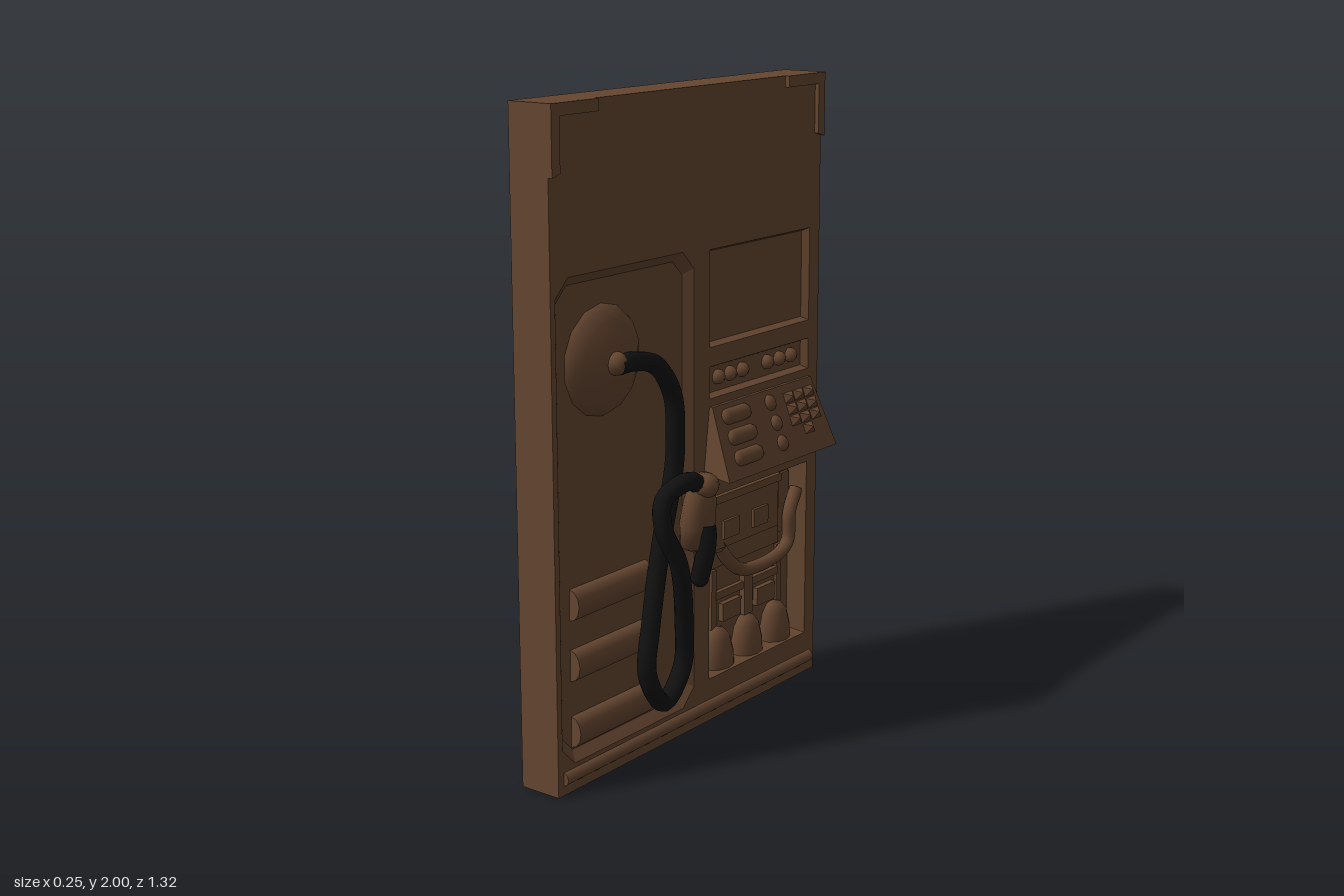
import * as THREE from 'three';

const brown = new THREE.MeshStandardMaterial({ color: 0x654630, side: THREE.DoubleSide });
brown.name = 'brownCasing';
const black = new THREE.MeshStandardMaterial({ color: 0x111111 });
black.name = 'blackRubber';

// Modelled facing +z, then turned so the face looks along +x
export function createModel() {
  const model = new THREE.Group();
  model.name = 'fuelPumpPanel';
  const panel = new THREE.Group();
  panel.name = 'panel';
  panel.rotation.y = Math.PI / 2;
  model.add(panel);

  const add = (name, geo, x = 0, y = 0, z = 0, mat = brown, parent = panel) => {
    const m = new THREE.Mesh(geo, mat);
    m.name = name;
    m.position.set(x, y, z);
    parent.add(m);
    return m;
  };
  // Box given by its limits
  const block = (name, x0, x1, y0, y1, z0, z1) =>
    add(name, new THREE.BoxGeometry(x1 - x0, y1 - y0, z1 - z0), (x0 + x1) / 2, (y0 + y1) / 2, (z0 + z1) / 2);
  // Rectangle outline with cut corners
  const outline = (x0, x1, y0, y1, c = 0) => (c
    ? [[x0 + c, y0], [x1 - c, y0], [x1, y0 + c], [x1, y1 - c], [x1 - c, y1], [x0 + c, y1], [x0, y1 - c], [x0, y0 + c]]
    : [[x0, y0], [x1, y0], [x1, y1], [x0, y1]]).map(p => new THREE.Vector2(...p));
  const layer = (name, holes, z0, z1) => {
    const s = new THREE.Shape(outline(-0.66, 0.66, 0, 2));
    s.holes = holes.map(h => new THREE.Path([...h].reverse()));
    return add(name, new THREE.ExtrudeGeometry(s, { depth: z1 - z0, bevelEnabled: false }), 0, 0, z0);
  };
  // Sloping wall joining two outlines
  const slope = (name, outer, inner, z0, z1) => {
    const pos = [];
    outer.forEach((a, i) => {
      const j = (i + 1) % outer.length, b = outer[j], c = inner[j], d = inner[i];
      pos.push(a.x, a.y, z0, b.x, b.y, z0, c.x, c.y, z1, a.x, a.y, z0, c.x, c.y, z1, d.x, d.y, z1);
    });
    const g = new THREE.BufferGeometry();
    g.setAttribute('position', new THREE.Float32BufferAttribute(pos, 3));
    g.computeVertexNormals();
    add(name, g);
  };
  const tube = (name, pts, r, mat, seg = 80) => add(name, new THREE.TubeGeometry(
    new THREE.CatmullRomCurve3(pts.map(p => new THREE.Vector3(...p))), seg, r, 10), 0, 0, 0, mat);

  // Casing in layers, with recesses cut through the front ones
  const hoseBay = outline(-0.64, -0.01, 0.085, 1.52, 0.055);
  const screen = outline(0.07, 0.605, 1.21, 1.51);
  const lamps = outline(0.07, 0.605, 1.05, 1.15);
  const machinery = outline(0.07, 0.605, 0.14, 0.735);
  block('backSlab', -0.66, 0.66, 0, 2, -0.132, -0.06);
  layer('middleLayer', [machinery], -0.06, -0.018);
  layer('frontLayer', [hoseBay, screen, lamps, machinery], -0.018, 0.007);
  slope('hoseBayBevel', hoseBay, outline(-0.612, -0.038, 0.115, 1.492, 0.045), 0.007, -0.017);
  slope('screenBevel', screen, outline(0.082, 0.595, 1.22, 1.5), 0.007, -0.017);
  slope('lampBevel', lamps, outline(0.082, 0.595, 1.06, 1.14), 0.007, -0.017);
  slope('machineryBevel', machinery, outline(0.08, 0.595, 0.15, 0.725), 0.007, -0.059);

  // Corner brackets
  for (const s of [-1, 1]) {
    const b = new THREE.Shape([[0.66, 2], [0.46, 2], [0.46, 1.965], [0.625, 1.965], [0.625, 1.81], [0.66, 1.8]]
      .map(([x, y]) => new THREE.Vector2(s * x, y)));
    add('cornerBracket', new THREE.ExtrudeGeometry(b, { depth: 0.014, bevelEnabled: false }), 0, 0, 0.007);
  }

  // Rounded kick bar
  const bar = add('kickBar', new THREE.CylinderGeometry(0.022, 0.022, 1.27, 10), 0, 0.05, 0.002);
  bar.rotation.z = Math.PI / 2;

  // Bulging louvres in the hose bay
  for (const y of [0.17, 0.375, 0.56]) {
    const l = add('louvre', new THREE.CylinderGeometry(0.048, 0.048, 0.35, 12), -0.395, y, -0.018);
    l.rotation.z = Math.PI / 2;
    l.scale.z = 0.75;
  }

  // Dish where the hose leaves the casing
  const dish = add('hoseDish', new THREE.LatheGeometry([[0.165, -0.018], [0.155, 0], [0.12, 0.022], [0.06, 0.042], [0, 0.05]]
    .map(p => new THREE.Vector2(...p)), 14), -0.415, 1.255, 0);
  dish.rotation.x = Math.PI / 2;
  add('hoseSocket', new THREE.SphereGeometry(0.035, 10, 8), -0.425, 1.255, 0.045);

  // Hose: down, round the long loop, back up and over to the nozzle
  tube('hose', [[-0.43, 1.25, 0.052], [-0.36, 1.25, 0.052], [-0.24, 1.215, 0.045], [-0.155, 1.11, 0.038],
    [-0.138, 0.98, 0.035], [-0.14, 0.88, 0.03], [-0.21, 0.66, 0.035], [-0.275, 0.42, 0.045], [-0.298, 0.28, 0.05],
    [-0.217, 0.165, 0.05], [-0.127, 0.25, 0.05], [-0.137, 0.41, 0.065], [-0.2, 0.61, 0.094], [-0.25, 0.73, 0.075],
    [-0.235, 0.81, 0.065], [-0.16, 0.845, 0.075], [-0.07, 0.825, 0.06], [-0.04, 0.77, 0.05]], 0.029, black, 160);

  // Nozzle and its spout
  const nozzle = add('nozzle', new THREE.LatheGeometry([[0, 0.135], [0.035, 0.13], [0.06, 0.05], [0.066, -0.03], [0.055, -0.1], [0, -0.125]]
    .map(p => new THREE.Vector2(...p)), 10), -0.038, 0.715, 0.045);
  nozzle.scale.z = 0.75;
  nozzle.rotation.x = 0.15;
  const grip = add('nozzleGrip', new THREE.SphereGeometry(0.05, 10, 8), -0.035, 0.81, 0.068);
  grip.scale.set(1, 0.8, 0.85);
  tube('spout', [[-0.037, 0.69, 0.075], [-0.036, 0.64, 0.078], [-0.036, 0.515, 0.05]], 0.03, black, 10);
  add('spoutTip', new THREE.SphereGeometry(0.03, 10, 6), -0.036, 0.515, 0.05, black);

  // Indicator lamps
  for (const x of [0.138, 0.2, 0.265, 0.4, 0.466, 0.53]) {
    add('lamp', new THREE.SphereGeometry(0.024, 8, 6), x, 1.105, -0.012);
  }

  // Sloping console: wedge widening towards its lower edge
  const wedge = new THREE.BoxGeometry(1, 1, 1);
  const wp = wedge.attributes.position;
  for (let i = 0; i < wp.count; i++) {
    const low = wp.getY(i) < 0, out = wp.getZ(i) > 0;
    wp.setXYZ(i, 0.337 + Math.sign(wp.getX(i)) * (low ? 0.295 : 0.268), low ? (out ? 0.805 : 0.82) : 1.025,
      out ? (low ? 0.105 : 0.018) : 0);
  }
  wedge.computeVertexNormals();
  add('console', wedge);
  const keys = new THREE.Group();
  keys.name = 'consoleKeys';
  keys.position.set(0, 0.915, 0.0615);
  keys.rotation.x = -Math.atan2(0.087, 0.22);
  panel.add(keys);
  const key = (name, geo, x, y) => add(name, geo, x, (y - 0.915) / 0.93, 0, brown, keys);
  for (const y of [0.987, 0.925, 0.863]) {
    const pill = key('pillKey', new THREE.CapsuleGeometry(0.025, 0.095, 4, 8), 0.172, y);
    pill.rotation.z = Math.PI / 2;
    pill.scale.z = 0.6;
    key('roundKey', new THREE.SphereGeometry(0.026, 8, 6), 0.355, y).scale.z = 0.6;
  }
  // Pyramid keypad
  const pyramid = new THREE.ConeGeometry(0.036, 0.02, 4).toNonIndexed();
  pyramid.rotateY(Math.PI / 4).rotateX(Math.PI / 2).translate(0, 0, 0.01);
  pyramid.computeVertexNormals();
  for (let r = 0; r < 4; r++) for (let c = 0; c < 3; c++) {
    if (r < 3 || c === 1) key('keypadKey', pyramid, 0.458 + c * 0.056, 0.985 - r * 0.035).scale.y = 0.65;
  }

  // Machinery behind the lower opening
  block('pumpHousing', 0.095, 0.52, 0.47, 0.715, -0.06, -0.045);
  block('housingTop', 0.13, 0.5, 0.69, 0.715, -0.06, -0.02);
  block('housingFace', 0.13, 0.5, 0.535, 0.69, -0.06, -0.032);
  block('sideHousing', 0.52, 0.585, 0.5, 0.7, -0.06, -0.05);
  for (const x of [0.19, 0.35]) block('housingWindow', x, x + 0.08, 0.565, 0.625, -0.04, -0.022);
  tube('pipe', [[0.18, 0.54, -0.035], [0.22, 0.485, -0.025], [0.29, 0.44, -0.025], [0.47, 0.435, -0.025],
    [0.545, 0.47, -0.025], [0.555, 0.57, -0.025], [0.6, 0.64, -0.03]], 0.022, brown, 40);
  block('manifold', 0.18, 0.52, 0.36, 0.385, -0.06, -0.045);
  block('manifoldColumn', 0.325, 0.37, 0.27, 0.42, -0.06, -0.04);
  for (const x of [0.21, 0.4]) block('manifoldBlock', x, x + 0.1, 0.28, 0.34, -0.06, -0.042);
  for (const x of [0.16, 0.52]) block('manifoldPost', x, x + 0.025, 0.2, 0.46, -0.06, -0.05);

  // Domed canisters
  for (const x of [0.185, 0.345, 0.505]) {
    const d = add('canister', new THREE.LatheGeometry([[0.072, 0], [0.07, 0.04], [0.055, 0.095], [0.03, 0.122], [0, 0.132]].reverse()
      .map(p => new THREE.Vector2(...p)), 12), x, 0.14, -0.05);
    d.scale.z = 0.7;
  }
  return model;
}
